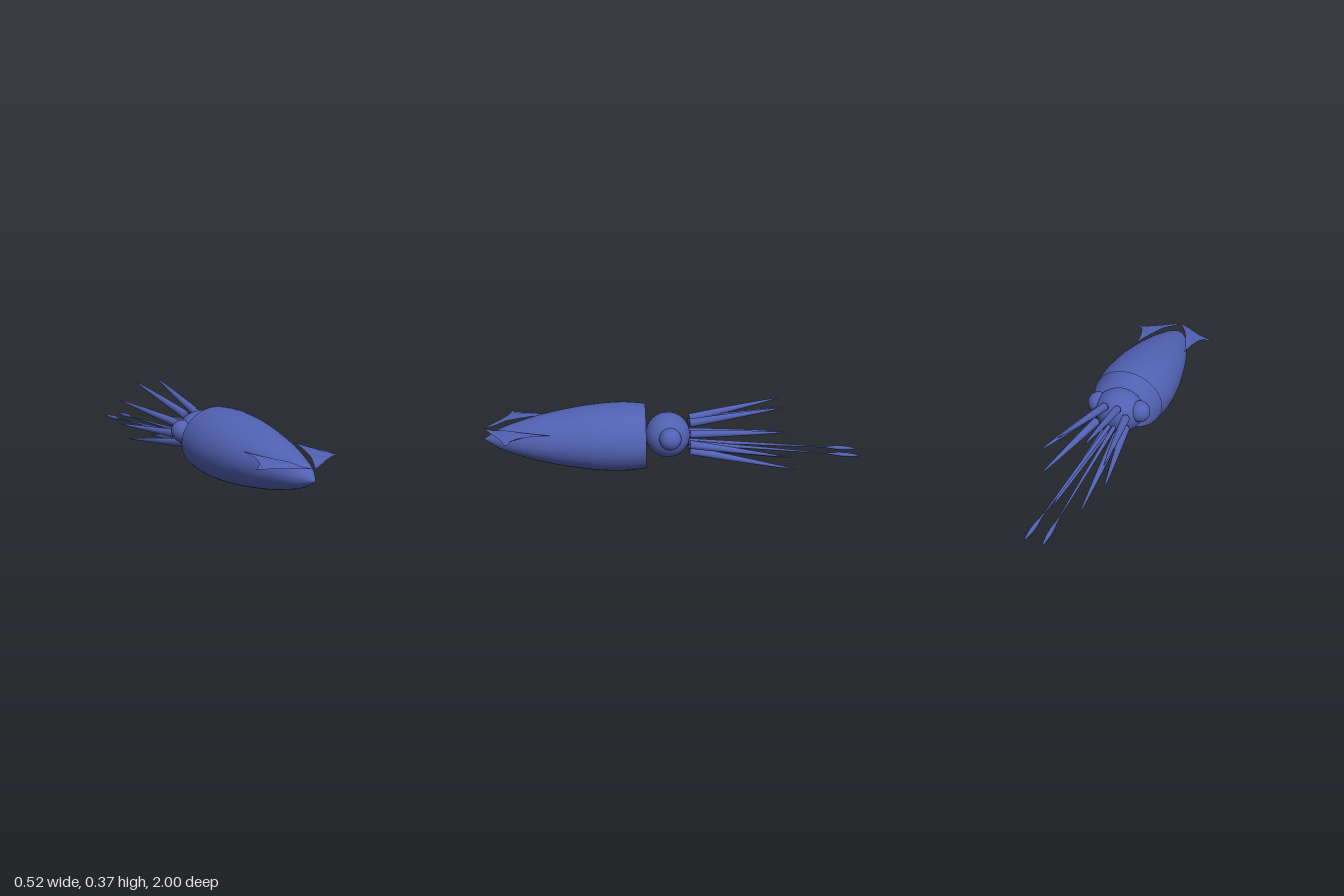
import * as THREE from 'three';

const CY = 0.19; // height of the body axis

export function createModel() {
  const group = new THREE.Group();
  const skin = new THREE.MeshStandardMaterial({ color: 0x5161b2, side: THREE.DoubleSide });
  skin.name = 'blue skin';

  const add = (name, geometry) => {
    const mesh = new THREE.Mesh(geometry, skin);
    mesh.name = name;
    group.add(mesh);
    return mesh;
  };

  // Round limb: [t, radius] profile swept along a straight line
  const limb = (name, from, to, profile) => {
    const a = new THREE.Vector3(...from), b = new THREE.Vector3(...to);
    const dir = b.clone().sub(a), len = dir.length();
    const pts = profile.map(([t, r]) => new THREE.Vector2(r, t * len));
    const mesh = add(name, new THREE.LatheGeometry(pts, 16));
    mesh.position.copy(a);
    mesh.quaternion.setFromUnitVectors(new THREE.Vector3(0, 1, 0), dir.normalize());
  };

  // Mantle: open at the neck, pointed at the front
  const profile = new THREE.SplineCurve([
    [0.196, 0.15], [0.207, 0.28], [0.192, 0.46], [0.151, 0.66],
    [0.108, 0.8], [0.063, 0.91], [0, 1],
  ].map(([r, z]) => new THREE.Vector2(r, z))).getPoints(36);
  profile[36].x = 0;
  const mantle = new THREE.LatheGeometry(profile, 48);
  mantle.rotateX(Math.PI / 2);
  mantle.scale(1, 0.86, 1);
  add('mantle', mantle).position.y = CY;

  // Head
  const head = add('head', new THREE.SphereGeometry(0.118, 40, 28));
  head.scale.x = 1.12;
  head.position.set(0, CY + 0.003, 0.032);

  // Fin outline in x and z, leading edge low and trailing edge slightly raised
  const outline = new THREE.Shape();
  outline.moveTo(0, 0.995);
  outline.bezierCurveTo(0.07, 0.965, 0.165, 0.865, 0.262, 0.865);
  outline.bezierCurveTo(0.185, 0.865, 0.155, 0.77, 0.148, 0.64);
  outline.quadraticCurveTo(0.095, 0.85, 0, 0.995);
  const finGeometry = () => {
    const g = new THREE.ShapeGeometry(outline, 14);
    const p = g.attributes.position;
    for (let i = 0; i < p.count; i++) {
      const x = p.getX(i), z = p.getY(i);
      const lead = 0.995 - 0.68 * x + 0.7 * x * x;
      const back = THREE.MathUtils.smoothstep(lead - z, 0.02, 0.08);
      const tip = THREE.MathUtils.smoothstep(x, 0.23, 0.262);
      p.setXYZ(i, x, 0.25 + 0.015 * Math.max(back, tip), z);
    }
    // Make the upper side the front face
    const idx = g.index;
    for (let i = 0; i < idx.count; i += 3) {
      const a = idx.getX(i);
      idx.setX(i, idx.getX(i + 1));
      idx.setX(i + 1, a);
    }
    g.computeVertexNormals();
    if (g.attributes.normal.getY(0) < 0) {
      for (let i = 0; i < idx.count; i += 3) {
        const a = idx.getX(i);
        idx.setX(i, idx.getX(i + 1));
        idx.setX(i + 1, a);
      }
      g.computeVertexNormals();
    }
    return g;
  };

  const armProfile = [[0, 0], [0, 0.022], [0.02, 0.0225], [0.3, 0.0185], [0.6, 0.0125], [0.85, 0.0065], [0.97, 0.003], [1, 0]];
  const tentacleProfile = [[0, 0], [0, 0.012], [0.3, 0.009], [0.6, 0.006], [0.78, 0.0035], [0.83, 0.006],
    [0.88, 0.011], [0.92, 0.0115], [0.96, 0.008], [0.99, 0.004], [1, 0]];

  for (const [side, s] of [['left', 1], ['right', -1]]) {
    add(side + 'Fin', finGeometry()).scale.x = s;

    // Eye
    const eye = add(side + 'Eye', new THREE.SphereGeometry(0.058, 28, 20));
    eye.position.set(s * 0.117, 0.216, 0.024);

    // Four arms: base and tip
    [
      ['upperArm', [0.035, 0.27, -0.083], [0.072, 0.362, -0.572]],
      ['upperSideArm', [0.083, 0.228, -0.083], [0.17, 0.264, -0.575]],
      ['lowerSideArm', [0.083, 0.168, -0.083], [0.17, 0.124, -0.575]],
      ['lowerArm', [0.035, 0.112, -0.083], [0.075, 0.003, -0.658]],
    ].forEach(([name, [ax, ay, az], [bx, by, bz]]) =>
      limb(`${side} ${name}`, [s * ax, ay, az], [s * bx, by, bz], armProfile));

    // Long feeding tentacle with a club end
    limb(side + ' tentacle', [s * 0.014, 0.149, -0.08], [s * 0.047, 0.063, -1], tentacleProfile);
  }
  return group;
}
